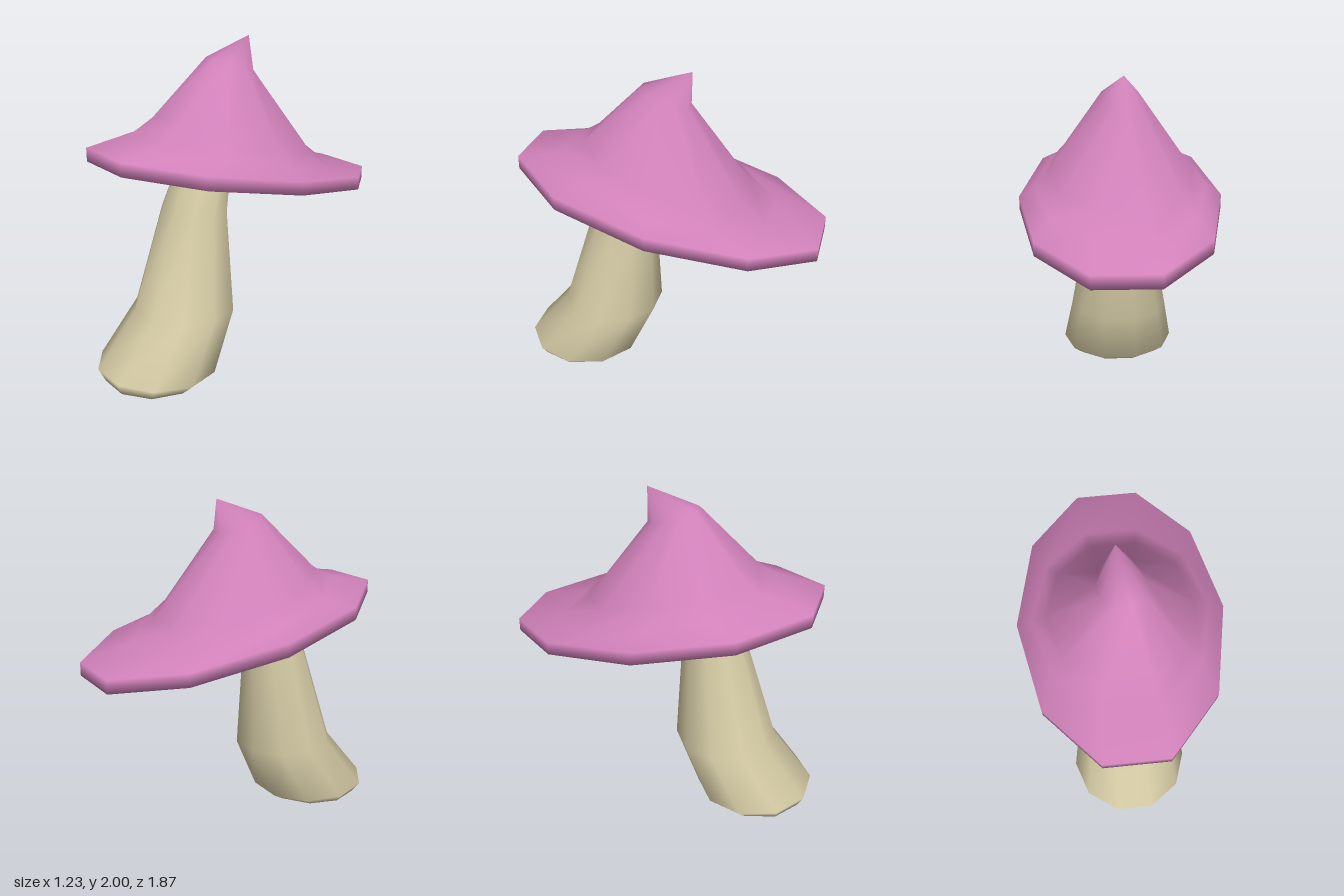
import * as THREE from 'three';
import { mergeVertices } from 'three/addons/utils/BufferGeometryUtils.js';

const SIDES = 10;

// Skin over tilted ten-sided rings: [front z, front y, back z, back y, half width, x offset]
function loft(rings) {
  const pos = [], index = [];
  const reach = Math.sin(Math.PI * 0.4); // foremost corner of a ring
  for (const [zf, yf, zb, yb, rx, x0 = 0] of rings) {
    for (let j = 0; j < SIDES; j++) {
      const a = (j / SIDES) * Math.PI * 2;
      const s = Math.sin(a) / reach / 2;
      pos.push(x0 + rx * Math.cos(a), (yf + yb) / 2 + (yf - yb) * s, (zf + zb) / 2 + (zf - zb) * s);
    }
  }
  for (let i = 0; i < rings.length - 1; i++) {
    for (let j = 0; j < SIDES; j++) {
      const k = (j + 1) % SIDES;
      const a = i * SIDES + j, b = i * SIDES + k, c = a + SIDES, d = b + SIDES;
      if (rings[i][4] > 0) index.push(a, c, b);
      if (rings[i + 1][4] > 0) index.push(b, c, d);
    }
  }
  // fix the closing fans, whose single triangle needs the far ring's corners
  const geo = new THREE.BufferGeometry();
  geo.setAttribute('position', new THREE.Float32BufferAttribute(pos, 3));
  geo.setIndex(index);
  const merged = mergeVertices(geo, 1e-4);
  merged.computeVertexNormals();
  return merged;
}

export function createModel() {
  const capPink = new THREE.MeshStandardMaterial({ color: 0xd081b9 });
  capPink.name = 'capPink';
  const stemCream = new THREE.MeshStandardMaterial({ color: 0xd6cca6 });
  stemCream.name = 'stemCream';

  const group = new THREE.Group();
  group.name = 'mushroom';
  const add = (name, rings, material) => {
    const mesh = new THREE.Mesh(loft(rings), material);
    mesh.name = name;
    group.add(mesh);
  };

  const stemTop = [0.41, 1.195, 0.08, 1.115, 0.18];
  const lip = [0.8, 1.332, -0.8, 1.025, 0.53];

  // Bent stem with a bevelled foot
  add('stem', [
    [0.61, 0, 0.61, 0, 0],
    [0.9, 0, 0.32, 0, 0.31],
    [0.935, 0.08, 0.24, 0.05, 0.375],
    [0.675, 0.4, 0.08, 0.4, 0.315],
    [0.49, 1.0, 0.1, 1.0, 0.207],
    stemTop,
  ], stemCream);

  // Shallow cone under the cap
  add('capUnderside', [stemTop, lip], stemCream);

  // Cap: lip, rim, brim, crown and the crooked tip
  add('cap', [
    lip,
    [0.89, 1.36, -0.935, 1.01, 0.615],
    [0.89, 1.44, -0.935, 1.09, 0.615],
    [0.6, 1.49, -0.63, 1.17, 0.52],
    [0.485, 1.565, -0.475, 1.3, 0.43],
    [0.165, 1.895, -0.12, 1.8, 0.135],
    [-0.13, 2, -0.13, 2, 0, -0.015],
  ], capPink);

  return group;
}
